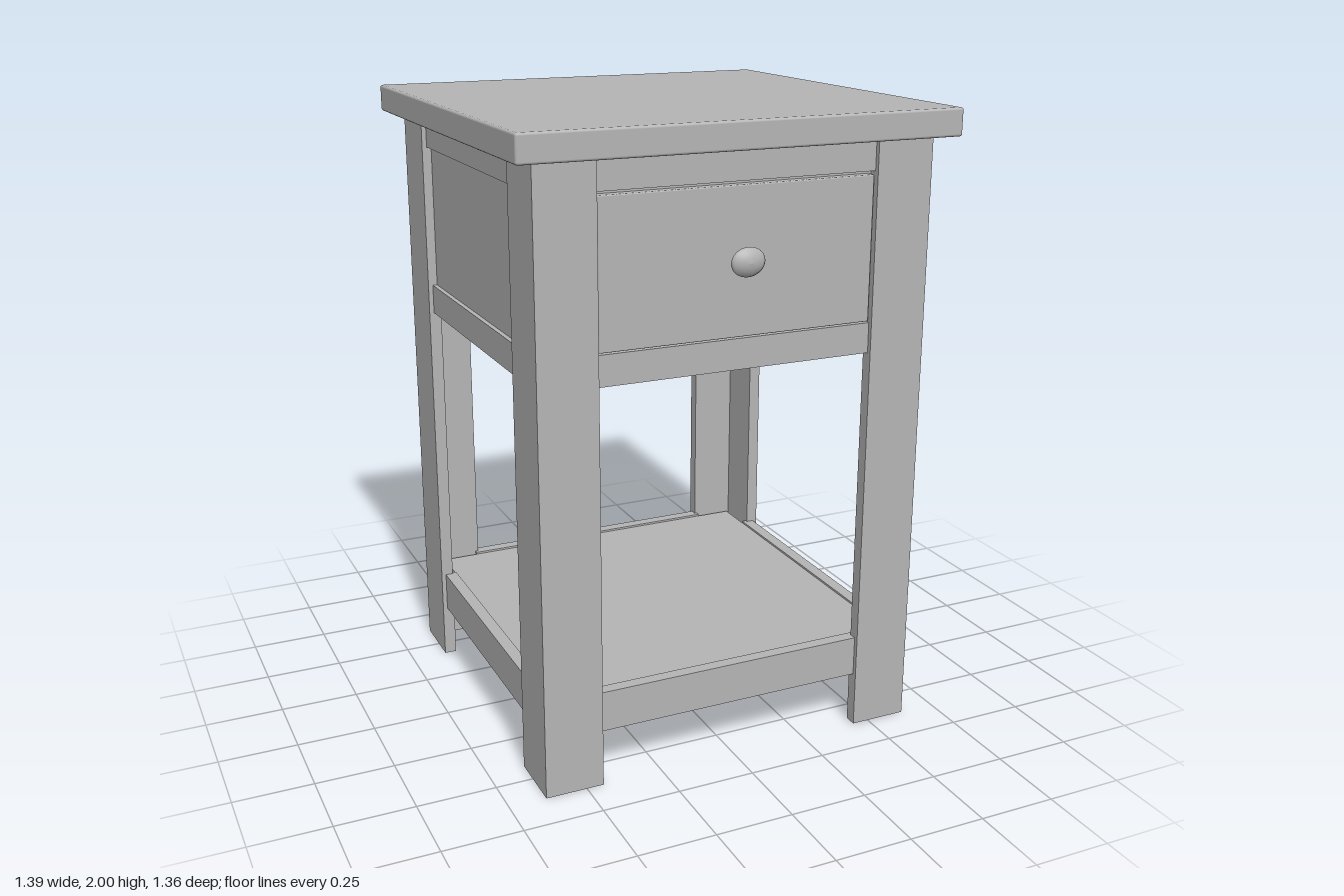
import * as THREE from 'three';
import { RoundedBoxGeometry } from 'three/addons/geometries/RoundedBoxGeometry.js';

export function createModel() {
  const table = new THREE.Group();
  table.name = 'bedsideTable';
  const paint = new THREE.MeshStandardMaterial({ color: 0xb4b4b4 });
  paint.name = 'greyPaint';

  const add = (name, geometry) => {
    const mesh = new THREE.Mesh(geometry, paint);
    mesh.name = name;
    table.add(mesh);
    return mesh;
  };
  // Box given by its lower and upper limits on each axis
  const slab = (name, [x0, x1], [y0, y1], [z0, z1], radius = 0) => {
    const size = [x1 - x0, y1 - y0, z1 - z0];
    const geometry = radius
      ? new RoundedBoxGeometry(...size, 2, radius)
      : new THREE.BoxGeometry(...size);
    add(name, geometry).position.set((x0 + x1) / 2, (y0 + y1) / 2, (z0 + z1) / 2);
  };

  const outX = 0.632, inX = 0.445; // leg limits across
  const outZ = 0.62, inZ = 0.42;   // leg limits in depth
  const board = 0.04;              // board thickness
  const topY = 1.915;

  slab('tableTop', [-0.695, 0.695], [topY, 2], [-0.678, 0.678], 0.008);

  // Legs: two boards joined in an L, open toward the inside
  for (const sx of [-1, 1]) {
    for (const sz of [-1, 1]) {
      const corners = [
        [outX, outZ], [inX, outZ], [inX, outZ - board],
        [outX - board, outZ - board], [outX - board, inZ], [outX, inZ],
      ];
      const shape = new THREE.Shape(corners.map(([x, z]) => new THREE.Vector2(sx * x, -sz * z)));
      const geometry = new THREE.ExtrudeGeometry(shape, { depth: topY, bevelEnabled: false });
      geometry.rotateX(-Math.PI / 2);
      add((sz > 0 ? 'front' : 'back') + (sx > 0 ? 'Left' : 'Right') + 'Leg', geometry);
    }
  }

  // Rails between the legs on all four sides, with recessed panels
  const rails = { topRail: [1.82, topY], lowerRail: [1.265, 1.36], shelfRail: [0.175, 0.305] };
  const span = (s, outer, inner) => (s > 0 ? [inner, outer] : [-outer, -inner]);
  const railX = outX - 0.015, railZ = outZ - 0.015;
  for (const s of [-1, 1]) {
    for (const [name, y] of Object.entries(rails)) {
      slab((s > 0 ? 'left' : 'right') + name, span(s, railX, railX - board), y, [-inZ - 0.01, inZ + 0.01]);
      slab((s > 0 ? 'front' : 'back') + name, [-inX - 0.01, inX + 0.01], y, span(s, railZ, railZ - board));
    }
    slab(s > 0 ? 'leftPanel' : 'rightPanel', span(s, railX - 0.015, railX - board),
      [1.35, 1.83], [-inZ - 0.01, inZ + 0.01]);
  }
  slab('backPanel', [-inX - 0.01, inX + 0.01], [1.35, 1.83], [-railZ + 0.015, -railZ + board].sort((a, b) => a - b));

  // Drawer front with a narrow gap round it, closed off behind
  slab('drawerBacking', [-inX - 0.01, inX + 0.01], [1.35, 1.83], [railZ - board, railZ - 0.025]);
  slab('drawerFront', [-inX + 0.005, inX - 0.005], [1.365, 1.81], [railZ - 0.03, railZ + 0.004], 0.004);

  // Cabinet floor and lower shelf, both set inside the rails
  const insideX = [-railX + board, railX - board];
  const insideZ = [-railZ + board, railZ - board];
  slab('cabinetFloor', insideX, [1.28, 1.32], insideZ);
  slab('shelf', insideX, [0.22, 0.298], insideZ);

  // Drawer knob: an oval mushroom on a short stem
  const profile = [
    [0.017, 0], [0.015, 0.012], [0.015, 0.034], [0.022, 0.04], [0.05, 0.044],
    [0.055, 0.049], [0.048, 0.057], [0.034, 0.065], [0.018, 0.07], [0, 0.072],
  ].map(([r, h]) => new THREE.Vector2(r, h));
  const knob = new THREE.LatheGeometry(profile, 32);
  knob.rotateX(Math.PI / 2);
  knob.scale(1, 0.8, 1);
  add('drawerKnob', knob).position.set(0, 1.597, railZ + 0.003);

  return table;
}
